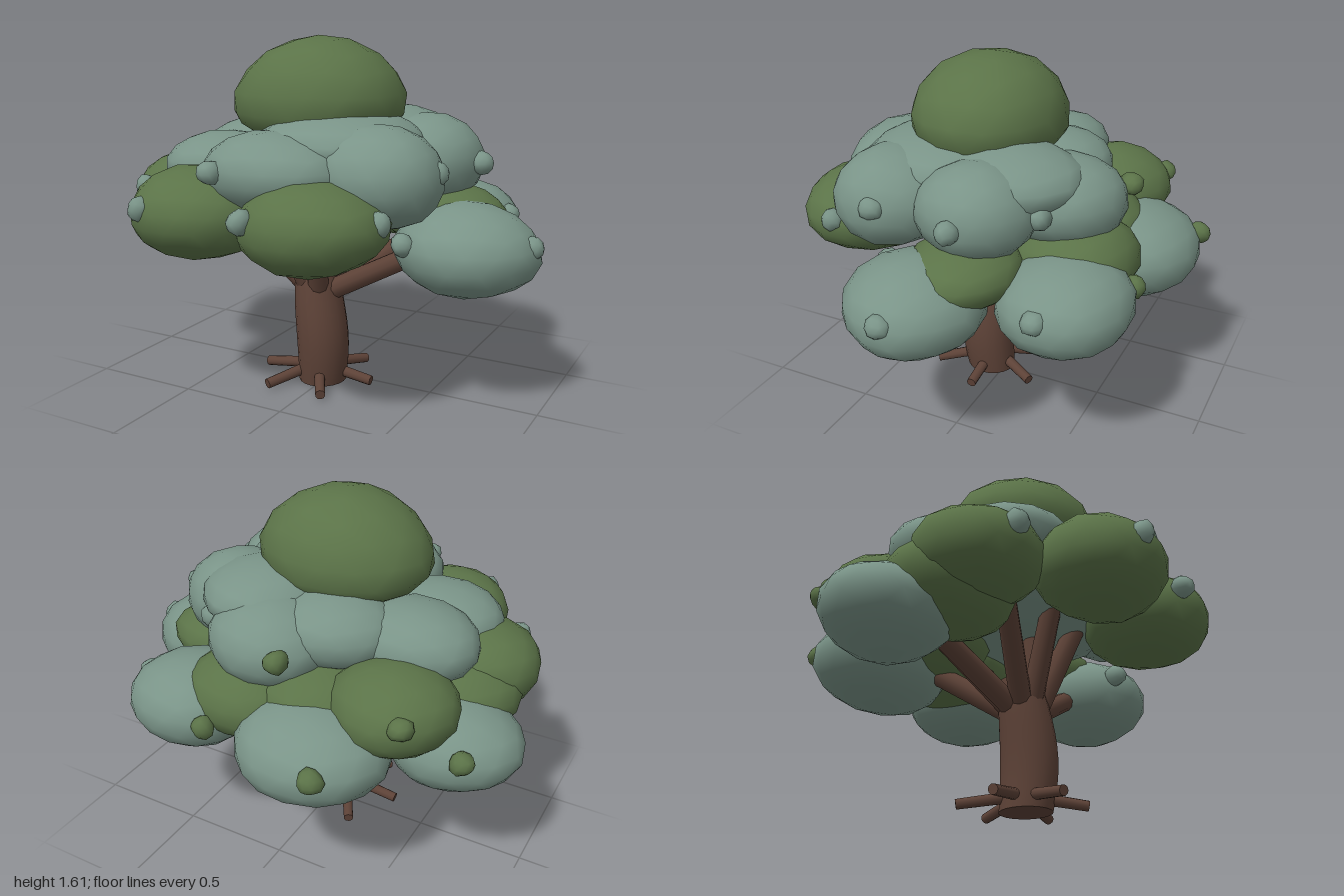
import * as THREE from 'three';
import { mergeVertices } from 'three/addons/utils/BufferGeometryUtils.js';

function material(name, color) {
  const m = new THREE.MeshStandardMaterial({ color });
  m.name = name;
  return m;
}

// Lumpy, smooth-shaded ellipsoid with a vertex at the top; the underside can be flattened
function blobGeometry(r, seed, lump = 0.025, detail = 2, under = 1) {
  let g = new THREE.IcosahedronGeometry(1.025, detail);
  g.rotateZ(Math.atan(2 / (1 + Math.sqrt(5))));
  g.deleteAttribute('uv');
  g.deleteAttribute('normal');
  g = mergeVertices(g, 1e-4);
  const p = g.attributes.position;
  const v = new THREE.Vector3();
  for (let i = 0; i < p.count; i++) {
    v.fromBufferAttribute(p, i);
    const k = 1 + lump * (Math.sin(4.1 * v.x + seed * 1.7) + Math.sin(4.7 * v.z + seed * 2.3)
      + Math.sin(2.9 * v.y + 2 * v.x + seed)) / 1.5;
    p.setXYZ(i, v.x * k * r[0], v.y * k * r[1] * (v.y < 0 ? under : 1), v.z * k * r[2]);
  }
  g.computeVertexNormals();
  return g;
}

export function createModel() {
  const tree = new THREE.Group();
  tree.name = 'tree';
  const green = material('leaf green', 0x5b7348);
  const sage = material('sage green', 0x7a9488);
  const bark = material('bark brown', 0x5d4237);

  function add(name, geometry, mat, parent = tree) {
    const mesh = new THREE.Mesh(geometry, mat);
    mesh.name = name;
    parent.add(mesh);
    return mesh;
  }

  // Tapered limb between two points
  function limb(name, a, b, r0, r1) {
    const from = new THREE.Vector3(...a), to = new THREE.Vector3(...b);
    const dir = to.clone().sub(from);
    const mesh = add(name, new THREE.CylinderGeometry(r1, r0, dir.length(), 10), bark);
    mesh.position.copy(from).add(to).multiplyScalar(0.5);
    mesh.quaternion.setFromUnitVectors(new THREE.Vector3(0, 1, 0), dir.normalize());
  }

  // Trunk with a gentle bend
  const trunk = new THREE.CylinderGeometry(0.095, 0.11, 0.58, 20, 10);
  trunk.translate(0, 0.298, 0);
  const tp = trunk.attributes.position;
  for (let i = 0; i < tp.count; i++) {
    const y = tp.getY(i);
    const swell = 1 + 0.16 * Math.sin(Math.PI * Math.min(y / 0.58, 1));
    tp.setX(i, tp.getX(i) * swell - 0.02 + 0.015 * Math.sin(y * 8) - 0.03 * y);
    tp.setZ(i, tp.getZ(i) * swell * 1.07 + 0.077 + 0.015 * Math.sin(y * 6));
  }
  trunk.computeVertexNormals();
  add('trunk', trunk, bark);

  // Six roots fanned around the base
  for (let i = 0; i < 6; i++) {
    const a = (i / 6) * Math.PI * 2 - 0.03;
    const c = Math.cos(a), s = Math.sin(a);
    limb('root', [-0.045 + c * 0.06, 0.068, 0.075 + s * 0.06],
      [-0.045 + c * 0.275, 0.035, 0.075 + s * 0.285], 0.026, 0.023);
  }

  // Branches: tips reaching into the canopy
  const tips = [
    [0.56, 0.74, 0.08], [0.42, 0.76, -0.38], [-0.16, 0.76, -0.45], [-0.6, 0.74, -0.12],
    [-0.45, 0.84, 0.2], [-0.18, 0.9, 0.3], [0.06, 0.9, 0.32], [-0.38, 0.88, -0.28],
    [0.15, 0.88, -0.32], [-0.03, 1.0, 0.12],
  ];
  for (const t of tips) {
    const d = new THREE.Vector2(t[0] + 0.03, t[2] - 0.08).normalize().multiplyScalar(0.05);
    limb('branch', [-0.03 + d.x, 0.45, 0.08 + d.y], t, 0.05, 0.045);
  }

  // Foliage clumps: material, centre, radii
  const clumps = [
    // Low tier
    [sage, [0.675, 0.73, 0.075], [0.315, 0.2, 0.295]],
    [sage, [0.42, 0.735, -0.48], [0.3, 0.195, 0.28]],
    [sage, [-0.22, 0.73, -0.57], [0.33, 0.2, 0.29]],
    [sage, [-0.7, 0.715, -0.2], [0.295, 0.185, 0.28]],
    // Middle tier
    [green, [0.22, 0.885, 0.585], [0.315, 0.19, 0.285]],
    [green, [-0.335, 0.885, 0.585], [0.295, 0.195, 0.28]],
    [green, [-0.65, 0.885, 0.18], [0.275, 0.19, 0.265]],
    [green, [-0.6, 0.81, 0.02], [0.3, 0.19, 0.27]],
    [green, [-0.49, 0.9, -0.36], [0.275, 0.185, 0.27]],
    [green, [0.16, 0.82, -0.42], [0.28, 0.18, 0.28]],
    [green, [-0.15, 0.84, -0.35], [0.28, 0.18, 0.28]],
    [green, [0.51, 0.84, -0.07], [0.28, 0.14, 0.24]],
    // High tier
    [sage, [-0.01, 1.07, 0.48], [0.32, 0.17, 0.27]],
    [sage, [0.38, 1.06, 0.33], [0.275, 0.215, 0.27]],
    [sage, [0.41, 1.08, -0.08], [0.27, 0.2, 0.26]],
    [sage, [0.1, 1.05, -0.33], [0.29, 0.19, 0.27]],
    [sage, [-0.43, 1.04, 0.22], [0.29, 0.14, 0.28]],
    [sage, [-0.44, 1.06, -0.08], [0.29, 0.16, 0.25]],
    [sage, [-0.13, 1.1, -0.21], [0.29, 0.16, 0.24]],
    [sage, [0.23, 1.16, -0.14], [0.29, 0.145, 0.32]],
    [sage, [0.15, 1.165, 0.2], [0.36, 0.145, 0.36]],
    [sage, [0, 0.97, 0.05], [0.48, 0.18, 0.46]],
  ];
  const canopy = new THREE.Group();
  canopy.name = 'canopy';
  tree.add(canopy);
  clumps.forEach(([mat, c, r], i) => {
    add('foliageClump', blobGeometry(r, i + 1), mat, canopy).position.set(...c);
  });

  // Domed crown with a flatter underside
  add('crown', blobGeometry([0.395, 0.29, 0.342], 4.5, 0.02, 2, 0.65), green, canopy)
    .position.set(-0.035, 1.315, 0.078);

  // Small leaf buds on the outer clumps
  const buds = [
    [sage, 0.96, 0.77, 0.07], [sage, 0.49, 0.78, 0.32], [sage, 0.69, 0.78, -0.46],
    [sage, 0.51, 0.93, 0.59], [sage, 0.03, 0.93, 0.82], [sage, -0.46, 0.93, 0.815],
    [sage, -0.755, 0.93, 0.42], [sage, -0.17, 1.09, 0.73], [sage, 0.63, 1.09, 0.3],
    [sage, 0.68, 1.08, -0.08], [sage, 0.4, 1.08, -0.35], [green, -0.37, 0.78, -0.83],
    [green, 0.22, 0.76, -0.71], [green, -0.07, 1.09, -0.58], [green, -0.62, 0.95, -0.575],
    [green, -0.83, 0.78, -0.44],
  ];
  buds.forEach(([mat, x, y, z], i) => {
    add('leafBud', blobGeometry([0.052, 0.05, 0.052], i, 0.08, 1), mat, canopy).position.set(x, y, z);
  });
  return tree;
}
